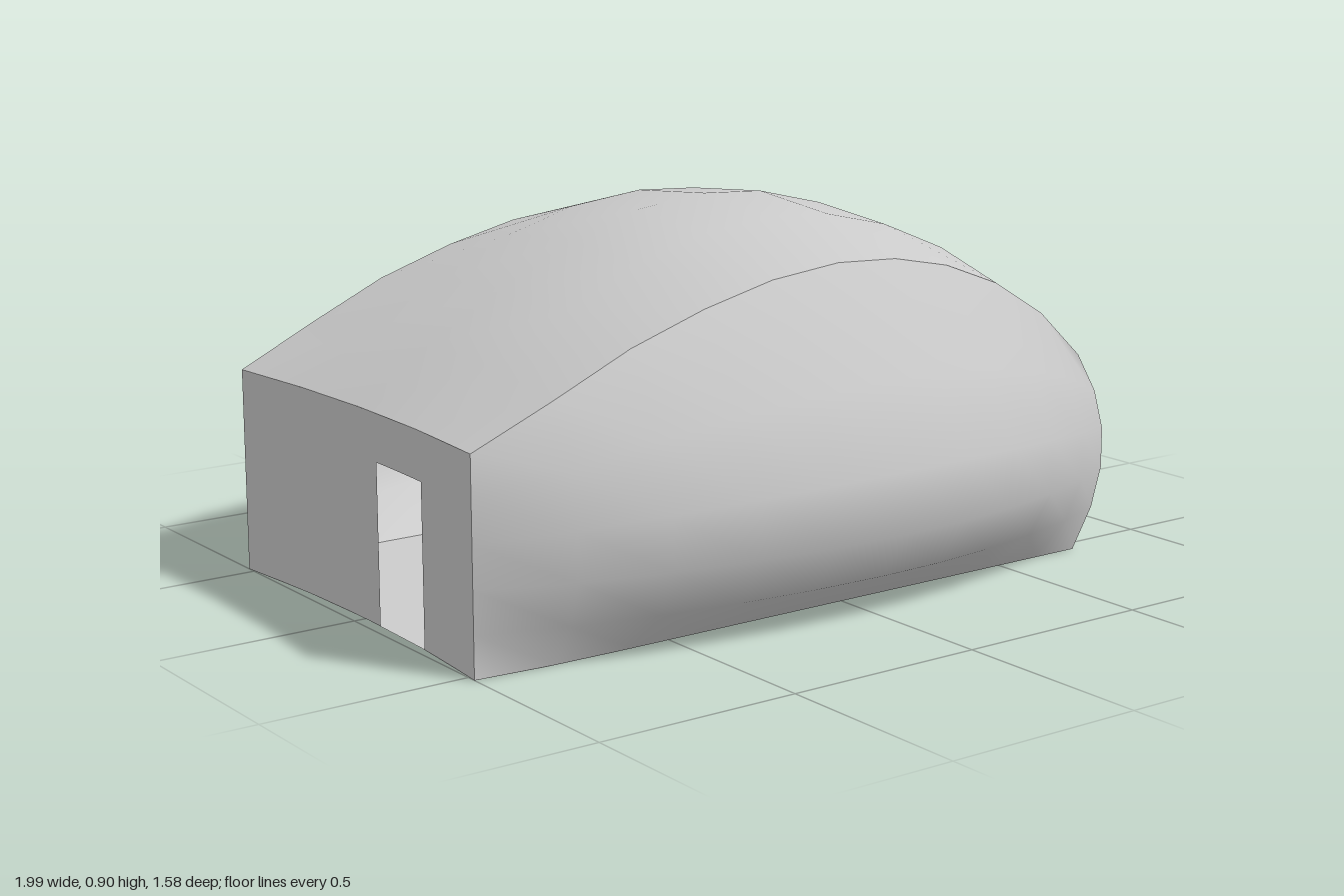
import * as THREE from 'three';

const material = new THREE.MeshStandardMaterial({ color: 0xcccccc, side: THREE.DoubleSide });

// Smooth surface patch: fn(u, v) gives [x, y, z]; it faces along du x dv
function sheet(name, nu, nv, fn) {
  const pos = [], index = [];
  for (let j = 0; j <= nv; j++)
    for (let i = 0; i <= nu; i++) pos.push(...fn(i / nu, j / nv));
  for (let j = 0; j < nv; j++)
    for (let i = 0; i < nu; i++) {
      const a = j * (nu + 1) + i, b = a + 1, c = a + nu + 1, d = c + 1;
      index.push(a, b, c, b, d, c);
    }
  const g = new THREE.BufferGeometry();
  g.setAttribute('position', new THREE.Float32BufferAttribute(pos, 3));
  g.setIndex(index);
  g.computeVertexNormals();
  const mesh = new THREE.Mesh(g, material);
  mesh.name = name;
  return mesh;
}

// Roof line along the long sides, and along the middle of the shell
const roofEdge = [[-1, 0.5], [-0.8, 0.59], [-0.6, 0.68], [-0.4, 0.745], [-0.21, 0.79], [-0.02, 0.81],
  [0.15, 0.802], [0.31, 0.77], [0.47, 0.71], [0.62, 0.62], [0.75, 0.5]];
const roofMiddle = [[-0.97, 0.5], [-0.78, 0.625], [-0.59, 0.73], [-0.39, 0.825], [-0.2, 0.882], [0, 0.905],
  [0.17, 0.896], [0.36, 0.85], [0.55, 0.77], [0.73, 0.65], [0.9, 0.5]];

const lerp = THREE.MathUtils.lerp;
const hump = (t) => 4 * t * (1 - t);
const at = (list, t) => list[Math.round(t * (list.length - 1))];
const halfDepth = (w) => lerp(0.525, 0.543, Math.min(1, w * 8));

export function createModel() {
  const group = new THREE.Group();

  // Arched roof
  group.add(sheet('roof', 10, 4, (w, v) => {
    const e = at(roofEdge, w), m = at(roofMiddle, w), t = hump(v);
    return [lerp(e[0], m[0], t), lerp(e[1], m[1], t), halfDepth(w) * (1 - 2 * v)];
  }));

  // Rounded end below the roof
  group.add(sheet('roundedEnd', 5, 4, (u, v) =>
    [0.75 + 0.095 * hump(u) + 0.15 * hump(v), 0.5 * (1 - u), 0.543 * (1 - 2 * v)]));

  // Bulging long sides
  for (const side of [1, -1]) {
    group.add(sheet(side > 0 ? 'frontSide' : 'backSide', 10, 5, (w, v) => {
      const u = side > 0 ? v : 1 - v, e = at(roofEdge, w);
      const x = e[0] + 0.095 * hump(u) * w ** 3;
      const y = 0.5 * u + (e[1] - 0.5) * u ** 3;
      return [x, y, side * (halfDepth(w) + 0.258 * hump(u) * hump(w))];
    }));
  }

  // Slightly hollow end wall around a doorway
  const wallX = (z) => -1 + 0.03 * (1 - (z / 0.525) ** 2);
  const doorFrom = 0.07, doorTo = 0.28, doorTop = 0.385;
  const wall = (name, z0, z1, y0) => group.add(sheet(name, 4, 1, (u, v) => {
    const z = lerp(z0, z1, u);
    return [wallX(z), lerp(y0, 0.5, v), z];
  }));
  wall('endWallBack', -0.525, doorFrom, 0);
  wall('doorLintel', doorFrom, doorTo, doorTop);
  wall('endWallFront', doorTo, 0.525, 0);

  // Flat floor
  group.add(sheet('floor', 10, 4, (u, v) => {
    const z = halfDepth(u) * (2 * v - 1);
    return [lerp(-1 + 0.03 * hump(v), 0.75 + 0.15 * hump(v), u), 0, z];
  }));

  return group;
}
